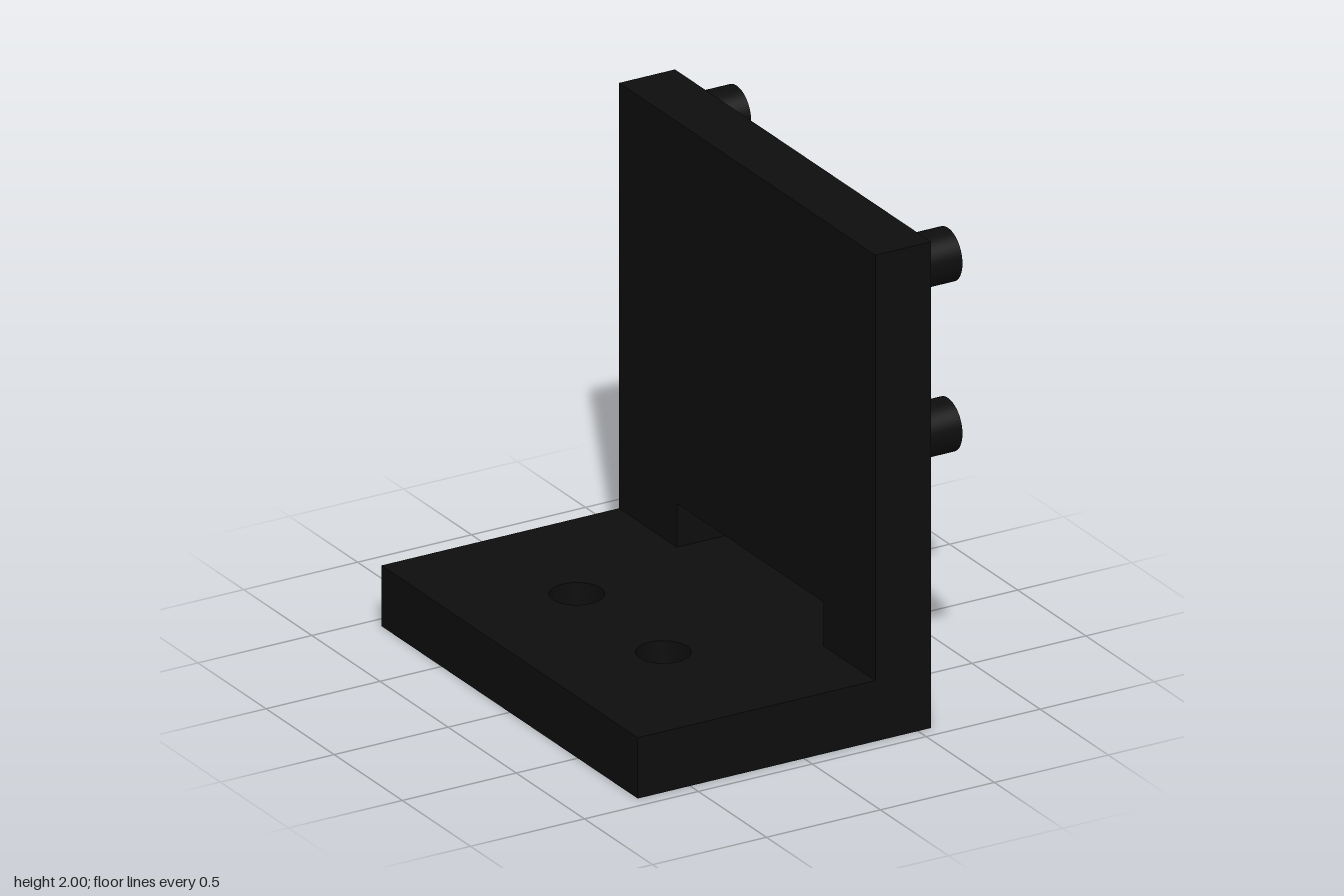
import * as THREE from 'three';
import { toCreasedNormals } from 'three/addons/utils/BufferGeometryUtils.js';

const material = new THREE.MeshStandardMaterial({ color: 0x0d0d0d });

// Closed rectangle outline
function rect(Type, x0, y0, x1, y1) {
  return new Type([[x0, y0], [x1, y0], [x1, y1], [x0, y1]].map(([x, y]) => new THREE.Vector2(x, y)));
}

// Closed circle outline
function circle(Type, x, y, r) {
  const c = new Type();
  c.absarc(x, y, r, 0, Math.PI * 2);
  return c;
}

function extrude(shape, depth) {
  return new THREE.ExtrudeGeometry(shape, { depth, bevelEnabled: false, curveSegments: 24 });
}

function addPart(group, name, geometry) {
  const mesh = new THREE.Mesh(toCreasedNormals(geometry, 0.6), material);
  mesh.name = name;
  group.add(mesh);
  return mesh;
}

export function createModel() {
  const group = new THREE.Group();
  group.name = 'angleBracket';

  // Horizontal base with two bolt holes, drawn in (x, -z) and raised along y
  const base = rect(THREE.Shape, -0.73, -0.94, 0.313, 0.94);
  for (const z of [-0.335, 0.3]) base.holes.push(circle(THREE.Path, -0.235, -z, 0.105));
  addPart(group, 'basePlate', extrude(base, 0.25).rotateX(-Math.PI / 2));

  // Upright plate with a slot, drawn in (-z, y) and extruded along x
  const upright = rect(THREE.Shape, -0.94, 0, 0.94, 2);
  upright.holes.push(rect(THREE.Path, -0.56, 0.25, 0.515, 0.43));
  addPart(group, 'uprightPlate', extrude(upright, 0.245).rotateY(Math.PI / 2)).position.x = 0.313;

  // Four hollow standoffs on the outer face
  const ring = circle(THREE.Shape, 0, 0, 0.107);
  ring.holes.push(circle(THREE.Path, 0, 0, 0.053));
  const standoff = extrude(ring, 0.172).rotateY(Math.PI / 2);
  for (const y of [1.15, 1.85]) {
    for (const z of [-0.775, 0.775]) {
      addPart(group, 'standoff', standoff).position.set(0.558, y, z);
    }
  }
  return group;
}
